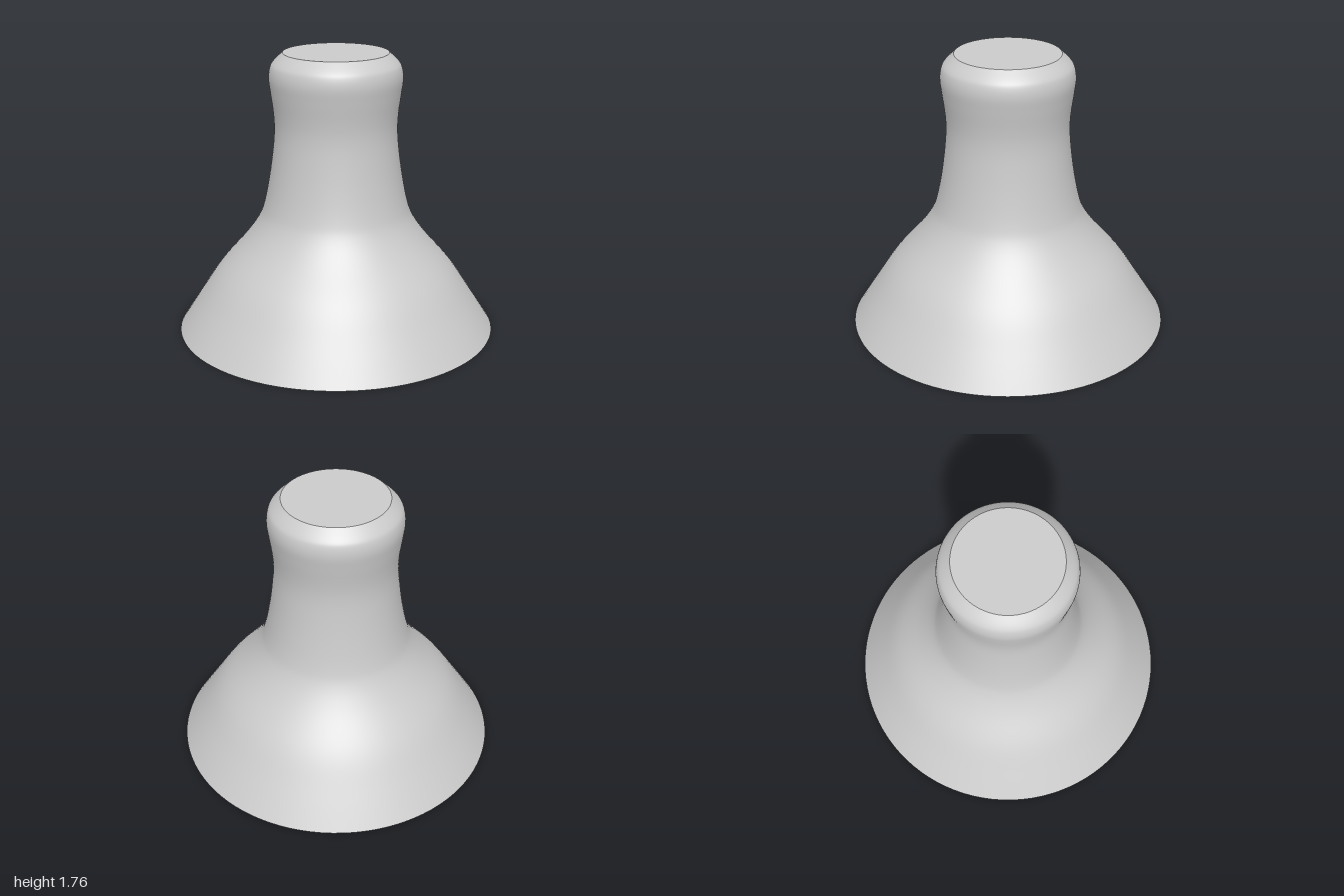
import * as THREE from 'three';

const HEIGHT = 1.765, BASE_R = 1, TOP_R = 0.325, SEGMENTS = 96;

// Outline of the body as [radius, height], from the base up
const OUTLINE = [
  [BASE_R, 0], [0.872, 0.2], [0.742, 0.395], [0.575, 0.59], [0.487, 0.72],
  [0.447, 0.83], [0.413, 1.0], [0.389, 1.18], [0.381, 1.3], [0.386, 1.4],
  [0.402, 1.52], [0.412, 1.61], [0.403, 1.675], [0.38, 1.713], [TOP_R, HEIGHT],
];

export function createModel() {
  const model = new THREE.Group();
  const material = new THREE.MeshStandardMaterial({ color: 0xcccccc });
  const add = (name, geometry) => {
    const mesh = new THREE.Mesh(geometry, material);
    mesh.name = name;
    model.add(mesh);
    return mesh;
  };

  // Flared body with a slim neck and a rounded rim
  const curve = new THREE.SplineCurve(OUTLINE.map(([r, y]) => new THREE.Vector2(r, y)));
  add('body', new THREE.LatheGeometry(curve.getPoints(70), SEGMENTS));

  // Flat discs close both ends with crisp edges; turned so their rims meet the body
  const disc = (r) => new THREE.CircleGeometry(r, SEGMENTS);
  add('topCap', disc(TOP_R).rotateX(-Math.PI / 2)).position.y = HEIGHT;
  add('baseCap', disc(BASE_R).rotateX(Math.PI / 2));

  return model;
}
